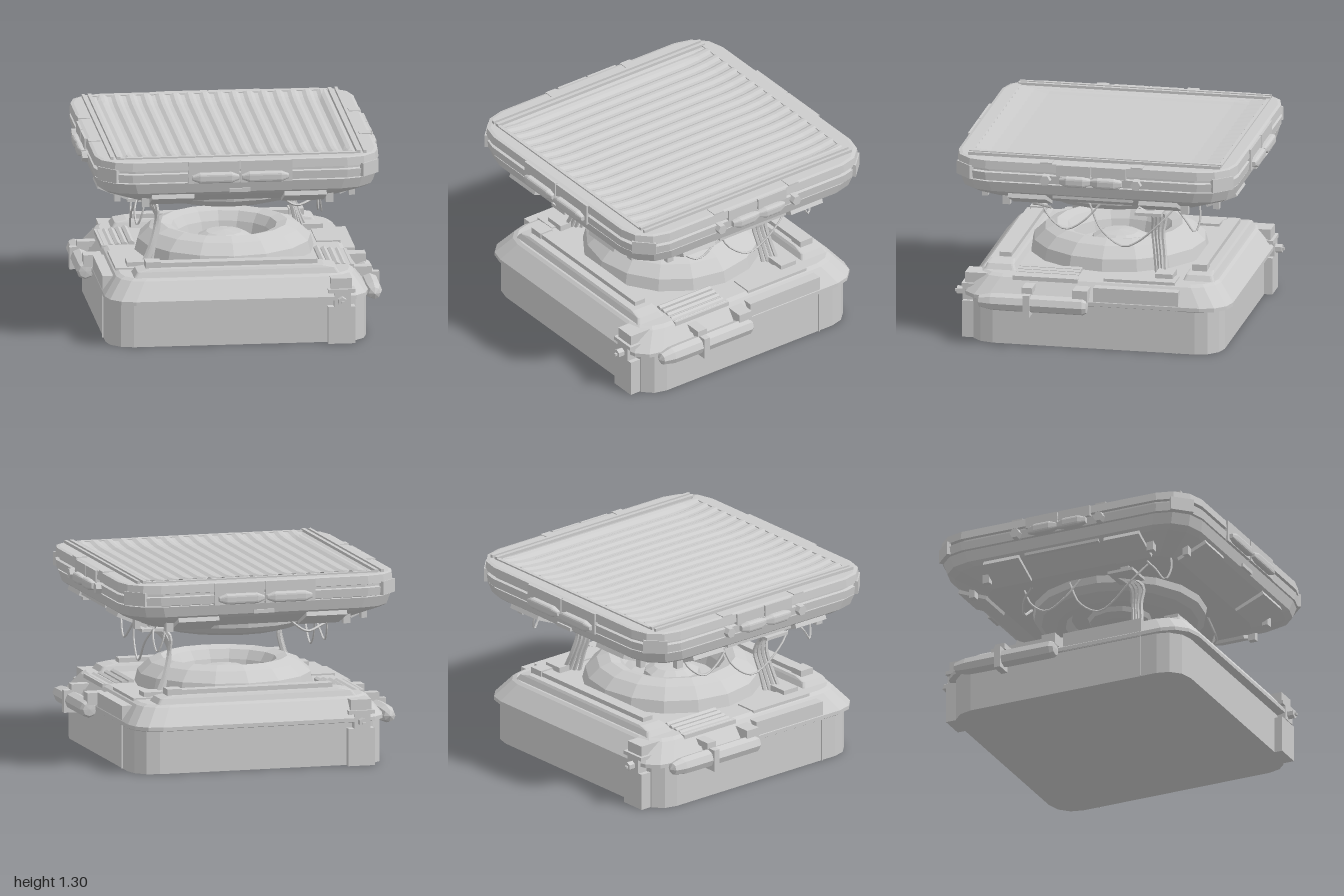
import * as THREE from 'three';

const mat = new THREE.MeshStandardMaterial({ color: 0xcccccc, flatShading: true, side: THREE.DoubleSide });

function add(parent, name, geo, x = 0, y = 0, z = 0) {
  const m = new THREE.Mesh(geo, mat);
  m.name = name;
  m.position.set(x, y, z);
  parent.add(m);
  return m;
}

// box given by its min and max corners
function block(parent, name, x0, x1, y0, y1, z0, z1) {
  return add(parent, name, new THREE.BoxGeometry(x1 - x0, y1 - y0, z1 - z0), (x0 + x1) / 2, (y0 + y1) / 2, (z0 + z1) / 2);
}

// rectangle outline with soft three-segment corners
function outline([y, hx, hz, c]) {
  const pts = [];
  for (let q = 0; q < 4; q++) {
    const sx = q === 0 || q === 3 ? 1 : -1, sz = q < 2 ? 1 : -1;
    for (let k = 0; k < 4; k++) {
      const a = (q + k / 3) * Math.PI / 2;
      pts.push([sx * (hx - c) + c * Math.cos(a), y, sz * (hz - c) + c * Math.sin(a)]);
    }
  }
  return pts;
}

// skin through sections [y, halfX, halfZ, corner], closed at both ends
function loft(sections) {
  const rings = sections.map(outline), v = [], n = rings[0].length;
  for (let i = 0; i < n; i++) {
    const j = (i + 1) % n;
    for (let k = 0; k + 1 < rings.length; k++) {
      const a = rings[k][i], b = rings[k][j], c = rings[k + 1][j], d = rings[k + 1][i];
      v.push(...a, ...d, ...b, ...b, ...d, ...c);
    }
    const lo = rings[0], hi = rings[rings.length - 1];
    v.push(0, lo[0][1], 0, ...lo[i], ...lo[j], 0, hi[0][1], 0, ...hi[j], ...hi[i]);
  }
  const g = new THREE.BufferGeometry();
  g.setAttribute('position', new THREE.Float32BufferAttribute(v, 3));
  g.computeVertexNormals();
  return g;
}

function lathe(profile, sides) {
  return new THREE.LatheGeometry(profile.map(p => new THREE.Vector2(p[0], p[1])), sides);
}

function cable(parent, name, r, pts) {
  const curve = new THREE.CatmullRomCurve3(pts.map(p => new THREE.Vector3(...p)));
  return add(parent, name, new THREE.TubeGeometry(curve, 16, r, 5), 0, 0, 0);
}

// capsule-like pad lying along x
function pad(parent, name, len, x, y, z) {
  const m = add(parent, name, loft([[-len / 2, 0.015, 0.02, 0.01], [-len / 2 + 0.05, 0.035, 0.035, 0.02],
    [len / 2 - 0.05, 0.035, 0.035, 0.02], [len / 2, 0.015, 0.02, 0.01]]), x, y, z);
  m.rotation.z = Math.PI / 2;
  return m;
}

// ribbed panel in a shallow pan, ribs running front to back
function ribbedPanel() {
  const ribs = 16, w = 1.56, d = 1.66;
  const g = new THREE.PlaneGeometry(w, d, ribs * 4, 16).rotateX(-Math.PI / 2);
  const p = g.attributes.position;
  for (let i = 0; i < p.count; i++) {
    const x = p.getX(i), z = p.getZ(i);
    const edge = Math.max((Math.abs(x) - 0.7) / 0.08, (Math.abs(z) - 0.68) / 0.15, 0);
    const col = Math.round((x + w / 2) / w * ribs * 4) % 4;
    p.setY(i, 1.262 + 0.022 * edge + (col >= 2 ? 0.012 : 0));
  }
  return g;
}

// parts found on one half, repeated by a half turn
function buildHalf() {
  const h = new THREE.Group();
  h.name = 'halfDetails';

  // gas canister with its clamp
  const can = add(h, 'canister', lathe([[0, -0.37], [0.045, -0.365], [0.06, -0.34], [0.06, 0.2], [0.058, 0.28], [0.04, 0.36], [0, 0.38]], 8), 0.915, 0.3, 0.4);
  can.rotation.x = Math.PI / 2;
  block(h, 'canisterClamp', 0.85, 0.98, 0.22, 0.37, 0.41, 0.455);
  block(h, 'clampTop', 0.72, 0.93, 0.37, 0.41, 0.4, 0.47);
  block(h, 'canisterEnd', 0.78, 0.93, 0.33, 0.41, 0.03, 0.13);
  // ribbed vent behind the canister
  block(h, 'ventBase', 0.58, 0.8, 0.36, 0.45, 0.12, 0.56);
  for (let i = 0; i < 5; i++) {
    const bar = add(h, 'ventBar', new THREE.CylinderGeometry(0.022, 0.022, 0.42, 6), 0.6 + i * 0.045, 0.455 - i * 0.006, 0.34);
    bar.rotation.x = Math.PI / 2;
  }
  // raised side housing and corner block
  block(h, 'sideHousing', 0.62, 0.872, 0.29, 0.42, -0.57, 0);
  block(h, 'housingTop', 0.62, 0.78, 0.42, 0.46, -0.53, -0.05);
  block(h, 'smallBox', 0.56, 0.7, 0.45, 0.49, -0.5, -0.38);
  block(h, 'sideSeam', 0.84, 0.875, 0, 0.3, -0.568, -0.56);

  // front latch column with hook
  block(h, 'latchColumn', 0.59, 0.77, 0, 0.25, 0.8, 0.905);
  block(h, 'latchHead', 0.63, 0.74, 0.25, 0.35, 0.8, 0.91);
  block(h, 'latchCap', 0.59, 0.77, 0.345, 0.37, 0.76, 0.91);
  block(h, 'latchTopBox', 0.61, 0.75, 0.37, 0.44, 0.72, 0.89);
  const knob = add(h, 'latchKnob', new THREE.CylinderGeometry(0.03, 0.03, 0.05, 6), 0.68, 0.295, 0.93);
  knob.rotation.x = Math.PI / 2;
  block(h, 'latchPin', 0.67, 0.69, 0.285, 0.3, 0.92, 0.97);

  // stepped ledge along the edge of the base
  add(h, 'ledge', loft([[0.44, 0.69, 0.11, 0.02], [0.485, 0.66, 0.09, 0.02], [0.5, 0.58, 0.08, 0.02]]), 0, 0, 0.67);
  block(h, 'ledgeBar', -0.54, 0.54, 0.49, 0.53, 0.62, 0.7);
  block(h, 'ledgeTab', -0.6, -0.5, 0.49, 0.54, 0.61, 0.71);

  // main cables joining base and platform
  for (let i = 0; i < 4; i++) {
    const o = i * 0.025, z = -0.34 - o;
    cable(h, 'mainCable', 0.014, [[0.62 - o, 0.9, z + 0.08], [0.53 - o * 0.5, 0.84, z + 0.01], [0.47 + o * 0.4, 0.72, z + 0.02],
      [0.5 + o * 0.5, 0.58, z], [0.53 + o, 0.43, z - 0.02]]);
  }
  // hanging wires
  cable(h, 'hangingWire', 0.007, [[0.63, 0.95, -0.5], [0.66, 0.86, -0.58], [0.65, 0.78, -0.64], [0.62, 0.86, -0.67], [0.6, 0.97, -0.66]]);
  cable(h, 'hangingWire', 0.007, [[0.62, 0.93, -0.5], [0.66, 0.82, -0.4], [0.65, 0.68, -0.24], [0.64, 0.65, -0.15], [0.62, 0.75, 0], [0.6, 0.92, 0.08]]);
  cable(h, 'hangingWire', 0.007, [[0.6, 0.93, 0], [0.62, 0.8, 0.12], [0.62, 0.74, 0.24], [0.6, 0.82, 0.36], [0.58, 0.94, 0.42]]);
  cable(h, 'hangingWire', 0.009, [[0.3, 0.93, 0.5], [0.42, 0.85, 0.5], [0.55, 0.88, 0.44], [0.68, 0.9, 0.32]]);
  // cable bracket under the platform
  block(h, 'cableBracket', 0.5, 0.69, 0.88, 0.9, -0.42, -0.24);
  block(h, 'bracketPost', 0.58, 0.62, 0.89, 0.97, -0.36, -0.3);

  // platform front: plates and twin pads
  for (const s of [-1, 1]) {
    block(h, 'frontPlate', s * 0.175 - 0.17, s * 0.175 + 0.17, 1.13, 1.275, 0.88, 0.955);
    pad(h, 'frontPad', 0.31, s * 0.165, 1.17, 0.96);
    const sidePad = pad(h, 'sidePad', 0.21, 0.96, 1.17, s * 0.105);
    sidePad.rotation.set(Math.PI / 2, 0, 0);
    block(h, 'sidePlate', 0.87, 0.955, 1.2, 1.275, s * 0.12 - 0.115, s * 0.12 + 0.115);
    const bolt = add(h, 'sideBolt', new THREE.CylinderGeometry(0.035, 0.04, 0.07, 6), 0.945, 1.17, s * 0.305);
    bolt.rotation.z = -Math.PI / 2;
    block(h, 'boltPlate', 0.86, 0.94, 1.225, 1.285, s * 0.305 - 0.04, s * 0.305 + 0.04);
    // rim clips
    block(h, 'underClip', s * 0.61 - 0.025, s * 0.61 + 0.025, 0.94, 1.05, 0.76, 0.8);
    block(h, 'underClip', 0.76, 0.8, 0.94, 1.05, s * 0.6 - 0.025, s * 0.6 + 0.025);
    // sloping underside panels
    const fp = block(h, 'underPanel', s * 0.44 - 0.14, s * 0.44 + 0.14, 0.975, 1.01, 0.69, 0.91);
    fp.rotation.x = -0.4;
    const sp = block(h, 'underPanel', 0.69, 0.91, 0.975, 1.01, s * 0.44 - 0.13, s * 0.44 + 0.13);
    sp.rotation.z = 0.4;
  }
  block(h, 'centreLatch', -0.07, 0.07, 1.06, 1.085, 0.88, 0.935);
  block(h, 'sideBar', 0.85, 0.9, 1.03, 1.05, -0.27, 0.27);

  // raised rim around the ribbed panel
  block(h, 'sideRim', 0.785, 0.81, 1.26, 1.3, -0.85, 0.85);
  block(h, 'sideRim', 0.83, 0.85, 1.26, 1.3, -0.85, 0.85);
  block(h, 'endRim', -0.8, 0.8, 1.26, 1.29, 0.825, 0.85);
  return h;
}

export function createModel() {
  const model = new THREE.Group();
  model.name = 'hoverPlatform';

  // base housing with overhanging sloped lid
  add(model, 'baseBody', loft([[0, 0.865, 0.85, 0.17], [0.29, 0.865, 0.85, 0.17]]));
  add(model, 'baseLid', loft([[0.285, 0.86, 0.86, 0.18], [0.295, 0.875, 0.905, 0.19], [0.32, 0.875, 0.905, 0.19],
    [0.435, 0.79, 0.81, 0.17], [0.45, 0.76, 0.79, 0.16]]));

  // lower emitter ring
  add(model, 'lowerRing', lathe([[0.6, 0.43], [0.575, 0.53], [0.5, 0.6], [0.42, 0.63], [0.35, 0.61], [0.31, 0.55], [0.29, 0.48], [0, 0.48]], 16));
  add(model, 'lowerHub', lathe([[0.2, 0.47], [0.18, 0.53], [0.12, 0.56], [0, 0.57]], 12));

  // upper receiver ring
  add(model, 'upperRing', lathe([[0.58, 0.97], [0.57, 0.9], [0.52, 0.86], [0.42, 0.83], [0.36, 0.84], [0.32, 0.89], [0, 0.89]], 18));
  add(model, 'upperHub', lathe([[0.22, 0.9], [0.2, 0.86], [0.13, 0.84], [0, 0.84]], 12));

  // platform: sloped underside, banded sides and shallow pan on top
  add(model, 'platformUnderside', loft([[0.95, 0.69, 0.69, 0.16], [1.035, 0.88, 0.88, 0.24], [1.06, 0.915, 0.915, 0.24], [1.13, 0.935, 0.935, 0.24]]));
  add(model, 'platformBody', loft([[1.13, 0.9, 0.9, 0.22], [1.14, 0.94, 0.94, 0.23], [1.195, 0.945, 0.945, 0.23], [1.2, 0.925, 0.925, 0.23],
    [1.215, 0.925, 0.925, 0.23], [1.22, 0.945, 0.945, 0.23], [1.275, 0.94, 0.94, 0.23], [1.28, 0.92, 0.92, 0.22],
    [1.28, 0.8, 0.84, 0.02], [1.25, 0.72, 0.76, 0.02]]));
  add(model, 'ribbedPanel', ribbedPanel());

  // corner guards
  for (let i = 0; i < 4; i++) {
    const a = Math.PI / 4 + i * Math.PI / 2;
    const guard = add(model, 'cornerGuard', new THREE.BoxGeometry(0.03, 0.09, 0.16), Math.cos(a) * 1.225, 1.185, Math.sin(a) * 1.225);
    guard.rotation.y = -a;
  }

  const half = buildHalf(), other = half.clone();
  other.rotation.y = Math.PI;
  model.add(half, other);
  return model;
}
